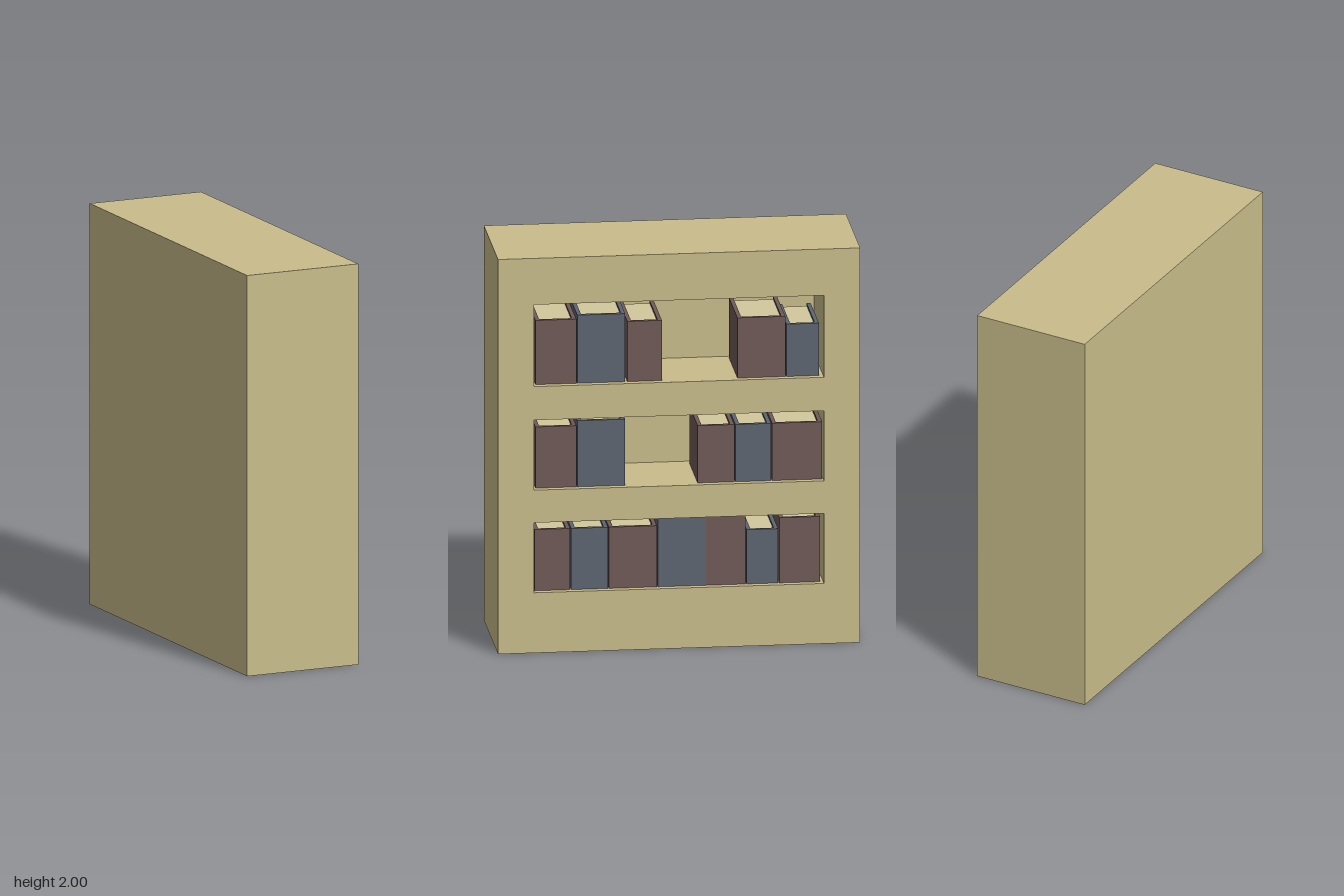
import * as THREE from 'three';

const mat = (name, color) => {
  const m = new THREE.MeshStandardMaterial({ color });
  m.name = name;
  return m;
};

const W = 0.6, H = 2, D = 1.775;      // overall x, y, z
const FRONT = W / 2, BACK = -0.12;    // open side and rear of the shelf bays

// Each bay: floor, ceiling and books as [start z, end z, top y, cover index]
const BAYS = [
  { floor: 1.35, top: 1.765, books: [
    [0.70, 0.50, 1.675, 0], [0.495, 0.26, 1.695, 1], [0.25, 0.08, 1.655, 0],
    [-0.29, -0.525, 1.655, 0], [-0.53, -0.69, 1.615, 1]] },
  { floor: 0.825, top: 1.18, books: [
    [0.70, 0.50, 1.135, 0], [0.495, 0.26, 1.16, 1], [-0.095, -0.275, 1.115, 0],
    [-0.28, -0.455, 1.115, 1], [-0.46, -0.705, 1.115, 0]] },
  { floor: 0.305, top: 0.66, books: [
    [0.705, 0.53, 0.615, 0], [0.525, 0.345, 0.615, 1], [0.34, 0.105, 0.615, 0],
    [0.10, -0.135, 0.657, 1], [-0.137, -0.33, 0.657, 0], [-0.335, -0.49, 0.58, 1],
    [-0.495, -0.695, 0.635, 0]] },
];

export function createModel() {
  const group = new THREE.Group();
  group.name = 'bookcase';
  const wood = mat('pale wood', 0xc9bd8b);
  const paper = mat('paper', 0xd3c89c);
  const covers = [mat('dull red cover', 0x6f5a58), mat('slate blue cover', 0x5d6570)];

  const add = (parent, name, geometry, material) => {
    const m = new THREE.Mesh(geometry, material);
    m.name = name;
    parent.add(m);
    return m;
  };
  const box = (parent, name, material, x0, x1, y0, y1, z0, z1) =>
    add(parent, name, new THREE.BoxGeometry(x1 - x0, y1 - y0, z1 - z0), material)
      .position.set((x0 + x1) / 2, (y0 + y1) / 2, (z0 + z1) / 2);
  const rect = (path, a, b, c, d) =>
    path.moveTo(a, b).lineTo(c, b).lineTo(c, d).lineTo(a, d).closePath();

  // Thick case with three bays cut through, closed by a solid back
  const outline = new THREE.Shape();
  rect(outline, -D / 2, 0, D / 2, H);
  for (const { floor, top } of BAYS) {
    const hole = new THREE.Path();
    rect(hole, -0.71, floor, 0.71, top);
    outline.holes.push(hole);
  }
  const frame = add(group, 'caseFrame',
    new THREE.ExtrudeGeometry(outline, { depth: FRONT - BACK, bevelEnabled: false }), wood);
  frame.rotation.y = Math.PI / 2;
  frame.position.x = BACK;
  box(group, 'caseBack', wood, -W / 2, BACK, 0, H, -D / 2, D / 2);

  // Ceiling of the top bay slopes down towards the back
  const wedge = new THREE.Shape();
  wedge.moveTo(FRONT, 1.765).lineTo(BACK, 1.765).lineTo(BACK, 1.70).closePath();
  add(group, 'slopedCeiling',
    new THREE.ExtrudeGeometry(wedge, { depth: 1.42, bevelEnabled: false }), wood)
    .position.z = -0.71;

  // Books: spine and two boards around a slightly lower page block
  const spine = FRONT - 0.035, rear = BACK + 0.03, t = 0.02;
  for (const { floor, books } of BAYS) {
    for (const [z1, z0, top, c] of books) {
      const book = new THREE.Group();
      book.name = 'book';
      box(book, 'spine', covers[c], spine - t, spine, floor, top, z0, z1);
      box(book, 'frontBoard', covers[c], rear, spine - t, floor, top, z1 - t, z1);
      box(book, 'backBoard', covers[c], rear, spine - t, floor, top, z0, z0 + t);
      box(book, 'pages', paper, rear + 0.01, spine - t, floor, top - 0.012, z0 + t, z1 - t);
      group.add(book);
    }
  }
  return group;
}
